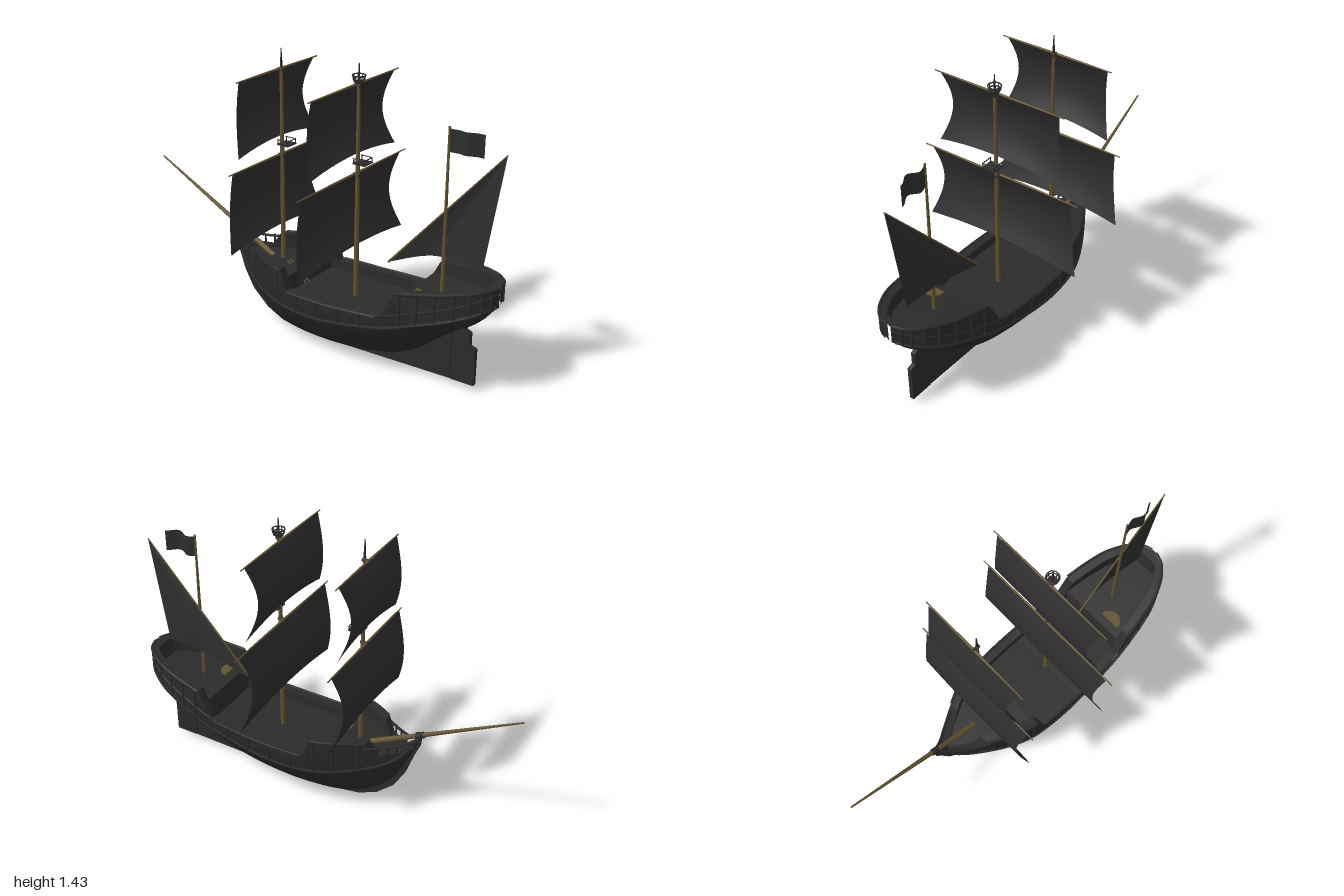
import * as THREE from 'three';
import { toCreasedNormals } from 'three/addons/utils/BufferGeometryUtils.js';

const mat = (name, color, side = THREE.FrontSide) => {
  const m = new THREE.MeshStandardMaterial({ color, side });
  m.name = name;
  return m;
};

// Value tables along z: [z, value]
const BEAM = [[-0.51, 0.006], [-0.45, 0.035], [-0.4, 0.068], [-0.3, 0.128], [-0.2, 0.18], [-0.1, 0.218], [0, 0.236],
  [0.2, 0.243], [0.4, 0.236], [0.6, 0.22], [0.8, 0.183], [0.9, 0.138], [0.95, 0.1], [0.985, 0.055], [1, 0.008]];
const BOTTOM = [[-0.51, 0.43], [-0.48, 0.36], [-0.42, 0.24], [-0.35, 0.14], [-0.2, 0.04], [-0.05, 0.012], [0.2, 0.014],
  [0.45, 0.055], [0.6, 0.125], [0.7, 0.205], [0.8, 0.285], [0.88, 0.335], [0.93, 0.38], [0.97, 0.43], [1, 0.46]];
const WALE = [[-0.51, 0.44], [-0.4, 0.33], [-0.25, 0.28], [0, 0.245], [0.2, 0.245], [0.52, 0.3], [0.7, 0.36], [0.9, 0.43], [1, 0.47]];
const SHEER = [[-0.51, 0.465], [-0.44, 0.38], [-0.33, 0.365], [-0.29, 0.435], [-0.2, 0.44], [-0.04, 0.43], [0, 0.33],
  [0.24, 0.335], [0.52, 0.355], [0.595, 0.495], [0.85, 0.54], [1, 0.56]];
const DECK = [[-0.51, 0.46], [-0.46, 0.39], [-0.44, 0.355], [-0.04, 0.37], [-0.038, 0.285], [0.24, 0.285], [0.56, 0.295],
  [0.562, 0.43], [0.935, 0.47], [0.95, 0.555], [1, 0.56]];

const segment = (t, z) => {
  let i = 0;
  while (i < t.length - 2 && z > t[i + 1][0]) i++;
  return i;
};
const linear = (t, z) => {
  const i = segment(t, z), [z0, a] = t[i], [z1, b] = t[i + 1];
  return a + (b - a) * THREE.MathUtils.clamp((z - z0) / (z1 - z0), 0, 1);
};
const smooth = (t, z) => {
  const i = segment(t, z), [z0, a] = t[i], [z1, b] = t[i + 1], h = z1 - z0;
  const slope = k => {
    const p = t[Math.max(k - 1, 0)], q = t[Math.min(k + 1, t.length - 1)];
    return (q[1] - p[1]) / (q[0] - p[0]);
  };
  const u = THREE.MathUtils.clamp((z - z0) / h, 0, 1), u2 = u * u, u3 = u2 * u;
  return (2 * u3 - 3 * u2 + 1) * a + (u3 - 2 * u2 + u) * h * slope(i) + (3 * u2 - 2 * u3) * b + (u3 - u2) * h * slope(i + 1);
};
const beam = z => Math.max(0.004, smooth(BEAM, z));
const sheer = z => linear(SHEER, z);

// Surface from rows of points
function loft(rows) {
  const n = rows[0].length, idx = [];
  for (let i = 0; i < rows.length - 1; i++) for (let j = 0; j < n - 1; j++) {
    const a = i * n + j, b = a + n;
    idx.push(a, a + 1, b, a + 1, b + 1, b);
  }
  const g = new THREE.BufferGeometry();
  g.setAttribute('position', new THREE.Float32BufferAttribute(rows.flat(2), 3));
  g.setIndex(idx);
  g.computeVertexNormals();
  return g;
}

function hullSection(z) {
  const w = beam(z), top = sheer(z), b = smooth(BOTTOM, z);
  const m = Math.min(Math.max(smooth(WALE, z), b), top), half = [];
  for (let k = 0; k <= 10; k++) {
    const f = (k / 10) ** 1.5;
    half.push([w * f ** 0.58, b + (m - b) * f, z]);
  }
  const inner = Math.max(0, w - 0.045), deck = Math.min(linear(DECK, z), top);
  half.push([w, top, z], [inner, top, z], [inner, deck, z], [0, deck, z]);
  return [...half, ...half.slice(0, -1).reverse().map(([x, y]) => [-x, y, z])];
}

export function createModel() {
  const root = new THREE.Group();
  const hullMat = mat('black timber', 0x2b2b2b), cloth = mat('black cloth', 0x2e2e2e, THREE.DoubleSide);
  const wood = mat('brown wood', 0x63532f);
  const add = (name, geo, material, parent = root) => {
    const m = new THREE.Mesh(geo, material);
    m.name = name;
    parent.add(m);
    return m;
  };
  const group = name => {
    const g = new THREE.Group();
    g.name = name;
    root.add(g);
    return g;
  };
  // Tapered round bar between two points
  const bar = (name, a, b, r0, r1, material, parent = root) => {
    const p = new THREE.Vector3(...a), q = new THREE.Vector3(...b), d = q.clone().sub(p);
    const m = add(name, new THREE.CylinderGeometry(r1, r0, d.length(), 10), material, parent);
    m.position.copy(p).add(q).multiplyScalar(0.5);
    m.quaternion.setFromUnitVectors(new THREE.Vector3(0, 1, 0), d.normalize());
    return m;
  };
  const tube = (name, pts, r, material, parent) => add(name, new THREE.TubeGeometry(
    new THREE.CatmullRomCurve3(pts.map(p => new THREE.Vector3(...p))), 70, r, 6), material, parent);

  // Hull with bulwarks and stepped decks
  const zs = new Set([BEAM, SHEER, DECK].flat().map(p => p[0]));
  for (let i = 0; i <= 50; i++) zs.add(+(-0.51 + i * 1.51 / 50).toFixed(3));
  const stations = [...zs].sort((a, b) => a - b);
  add('hull', toCreasedNormals(loft(stations.map(hullSection)), 0.6), hullMat);

  // Keel, stem and rudder plate
  const plate = (pts, t) => {
    const g = new THREE.ExtrudeGeometry(new THREE.Shape(pts.map(p => new THREE.Vector2(...p))), { depth: t, bevelEnabled: false });
    return g.translate(0, 0, -t / 2).rotateY(-Math.PI / 2);
  };
  add('keel', plate([[0.775, 0.027], [0.2, 0.002], [-0.1, 0], [-0.2, 0.015], [-0.3, 0.06], [-0.39, 0.14], [-0.445, 0.235],
    [-0.485, 0.35], [-0.515, 0.42], [-0.52, 0.47], [-0.49, 0.46], [-0.46, 0.36], [-0.36, 0.18], [-0.2, 0.06], [0.2, 0.04],
    [0.45, 0.08], [0.6, 0.16], [0.775, 0.3]], 0.018), hullMat);
  add('rudder', plate([[0.9, 0.03], [0.9, 0.215], [0.87, 0.225], [0.87, 0.29], [0.845, 0.3], [0.845, 0.37], [0.78, 0.35], [0.78, 0.027]], 0.022), hullMat);

  // Wales, rails and bulwark posts on both sides
  const trim = group('hull trim');
  const along = (z0, z1, n, fn) => Array.from({ length: n + 1 }, (_, i) => fn(z0 + (z1 - z0) * i / n));
  for (const s of [-1, 1]) {
    tube('wale', along(-0.49, 0.995, 40, z => [s * beam(z), smooth(WALE, z), z]), 0.008, hullMat, trim);
    tube('upper wale', along(0.5, 0.995, 20, z => [s * beam(z), smooth(WALE, z) + 0.06, z]), 0.005, hullMat, trim);
    tube('stern rail', along(0.6, 0.998, 24, z => [s * beam(z), sheer(z) - 0.004, z]), 0.009, hullMat, trim);
    tube('waist rail', along(0.01, 0.53, 16, z => [s * beam(z), sheer(z) - 0.004, z]), 0.008, hullMat, trim);
    tube('forecastle rail', along(-0.285, -0.045, 10, z => [s * beam(z), sheer(z) - 0.004, z]), 0.008, hullMat, trim);
    tube('bow rail', along(-0.28, -0.51, 12, z => [s * beam(z), 0.405 + 0.06 * ((-0.28 - z) / 0.23) ** 3, z]), 0.007, hullMat, trim);
    for (const z of [-0.26, -0.15, -0.06, 0.06, 0.18, 0.3, 0.42, 0.62, 0.7, 0.78, 0.86, 0.92, 0.96, 0.985]) {
      const y0 = smooth(WALE, z), y1 = sheer(z);
      bar('bulwark post', [s * beam(z), y0, z], [s * beam(z), y1, z], 0.007, 0.007, hullMat, trim);
    }
    for (const z of [-0.34, -0.38, -0.42])
      bar('bow rail post', [s * beam(z), 0.355, z], [s * beam(z), 0.415, z], 0.005, 0.005, hullMat, trim);
  }

  // Deck fittings
  const hatch = add('half round hatch', new THREE.CylinderGeometry(0.055, 0.055, 0.008, 20, 1, false, -Math.PI / 2, Math.PI), wood);
  hatch.position.set(-0.088, 0.442, 0.6);
  const ladder = group('ladder');
  for (const x of [-0.045, -0.02]) bar('ladder side', [x, 0.38, -0.14], [x * 1.1, 0.29, -0.02], 0.003, 0.003, wood, ladder);
  for (let i = 0; i < 5; i++) {
    const u = (i + 0.5) / 5, y = 0.38 - 0.09 * u, z = -0.14 + 0.12 * u;
    bar('ladder rung', [-0.046, y, z], [-0.021, y, z], 0.003, 0.003, wood, ladder);
  }

  // Masts, yards and billowing square sails
  const squareSail = (w0, w1, top, bottom, z) => loft(Array.from({ length: 15 }, (_, i) => {
    const v = i / 14;
    return Array.from({ length: 21 }, (_, j) => {
      const u = j / 10 - 1, arch = Math.sin(Math.PI * v);
      const w = w0 + (w1 - w0) * v - 0.038 * arch;
      const y = top + (bottom + 0.035 * (1 - u * u) - top) * v;
      return [u * w, y, z - arch * (0.045 + 0.012 * (1 - u * u)) - 0.002];
    });
  }));
  const rig = (name, z, k, nest) => {
    const g = group(name);
    bar('mast', [0, 0.27, z], [0, 1.34, z], 0.013, 0.008, wood, g);
    bar('mast tip', [0, 1.33, z], [0, 1.43, z], 0.007, 0.002, hullMat, g);
    for (const [y, low, yard, w0, w1] of [[0.903, 0.5, 0.43, 0.395, 0.425], [1.327, 0.96, 0.35, 0.325, 0.342]]) {
      for (const s of [-1, 1]) bar('yard', [0, y, z - 0.018], [s * yard * k, y, z - 0.018], 0.006, 0.003, wood, g);
      add('square sail', squareSail(w0 * k, w1 * k, y, low, z - 0.02), cloth, g);
      bar('yard lashing', [0, y, z - 0.022], [0, y, z + 0.012], 0.008, 0.008, hullMat, g);
    }
    // Small railed platform behind the mast
    const floor = add('platform', new THREE.BoxGeometry(0.068, 0.006, 0.066), hullMat, g);
    floor.position.set(0, 0.967, z + 0.027);
    for (const s of [-1, 1]) {
      bar('platform side rail', [s * 0.032, 0.99, z - 0.005], [s * 0.032, 0.99, z + 0.058], 0.0025, 0.0025, hullMat, g);
      for (const d of [0, 0.056]) bar('platform post', [s * 0.032, 0.967, z + d], [s * 0.032, 0.99, z + d], 0.0025, 0.0025, hullMat, g);
    }
    bar('platform back rail', [-0.032, 0.99, z + 0.057], [0.032, 0.99, z + 0.057], 0.0025, 0.0025, hullMat, g);
    if (!nest) return;
    // Crow's nest
    add('nest floor', new THREE.CylinderGeometry(0.022, 0.016, 0.01, 16), hullMat, g).position.set(0, 1.342, z);
    for (const [y, r] of [[1.358, 0.027], [1.374, 0.03]]) {
      const ring = add('nest ring', new THREE.TorusGeometry(r, 0.003, 6, 20), hullMat, g);
      ring.rotation.x = Math.PI / 2;
      ring.position.set(0, y, z);
    }
    for (let i = 0; i < 8; i++) {
      const c = Math.cos(i * Math.PI / 4), s = Math.sin(i * Math.PI / 4);
      bar('nest post', [0.021 * c, 1.342, z + 0.021 * s], [0.03 * c, 1.375, z + 0.03 * s], 0.0025, 0.0025, hullMat, g);
    }
  };
  rig('main mast rig', 0.24, 1, true);
  rig('fore mast rig', -0.2, 0.86, false);

  // Mizzen mast with triangular sail and flag
  const mizzen = group('mizzen rig');
  bar('mizzen mast', [0, 0.42, 0.71], [0, 1.23, 0.71], 0.01, 0.005, wood, mizzen);
  bar('slanted yard', [0.016, 0.505, 0.41], [0.016, 1.152, 0.982], 0.005, 0.003, wood, mizzen);
  const foot = new THREE.CatmullRomCurve3([[0, 0.505, 0.41], [0, 0.575, 0.58], [0, 0.598, 0.68], [0, 0.6, 0.898]].map(p => new THREE.Vector3(...p)));
  add('triangular sail', loft(Array.from({ length: 15 }, (_, i) => {
    const v = i / 14;
    return Array.from({ length: 15 }, (_, j) => {
      const p = foot.getPoint(j / 14).lerp(new THREE.Vector3(0, 1.152, 0.982), v);
      return [0.016 + 0.09 * (1 - v) * Math.sin(Math.PI * j / 14) * (0.25 + v * 0.3), p.y, p.z];
    });
  })), cloth, mizzen);
  add('flag', loft([1.117, 1.222].map(y => Array.from({ length: 17 }, (_, j) => {
    const u = j / 16;
    return [0.014 * Math.sin(u * 8) * Math.min(1, u * 3), y - 0.004 * Math.sin(u * 7), 0.71 + 0.165 * u];
  }))), cloth, mizzen);

  // Bowsprit
  bar('bowsprit', [0, 0.355, -0.26], [0, 0.728, -1], 0.015, 0.004, wood);
  bar('bowsprit collar', [0, 0.473, -0.495], [0, 0.49, -0.53], 0.017, 0.016, hullMat);
  return root;
}
